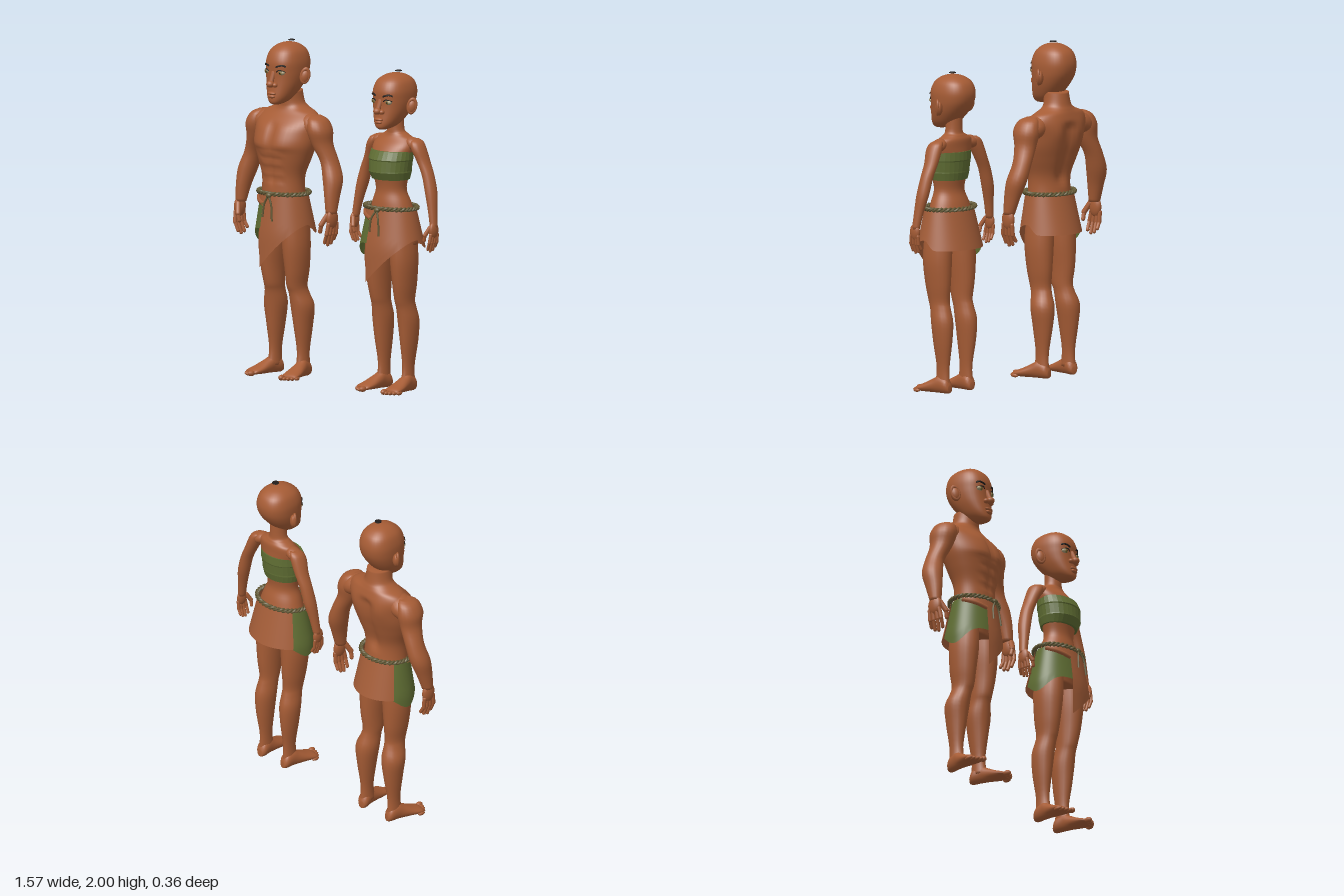
import * as THREE from 'three';

const mat = (name, color, side = THREE.FrontSide) => {
  const m = new THREE.MeshStandardMaterial({ color, side });
  m.name = name;
  return m;
};
const V = (x, y, z) => new THREE.Vector3(x, y, z);
const cr = (a, b, c, d, t) => 0.5 * (2 * b + (c - a) * t + (2 * a - 5 * b + 4 * c - d) * t * t + (3 * b - a - 3 * c + d) * t ** 3);
const smooth = THREE.MathUtils.smoothstep;
const spow = (v, e) => Math.sign(v) * Math.abs(v) ** e;

// Closed skin over rounded rings, listed from top to bottom: [y, centre x, half width, back z, front z]
function loft(rings, { seg = 20, steps = 4, side = 1, rule = null, flat = false, pow = 1 } = {}) {
  const rows = [];
  const n = rings.length;
  for (let k = 0; k < n - 1; k++)
    for (let s = 0; s < steps; s++)
      rows.push(rings[k].map((v, c) => cr(rings[Math.max(k - 1, 0)][c], v, rings[k + 1][c], rings[Math.min(k + 2, n - 1)][c], s / steps)));
  rows.push(rings[n - 1]);
  const pos = [], idx = [];
  for (const [y, cx, rx, zb, zf] of rows)
    for (let i = 0; i < seg; i++) {
      const a = (i / seg) * Math.PI * 2;
      const p = V(cx * side + rx * spow(Math.sin(a), pow), y, (zb + zf) / 2 + ((zf - zb) / 2) * spow(Math.cos(a), pow));
      if (rule) rule(p);
      pos.push(p.x, p.y, p.z);
    }
  const last = (rows.length - 1) * seg, pole = rows.length * seg;
  for (const r of [rows[0], rows[rows.length - 1]]) pos.push(r[1] * side, r[0], (r[3] + r[4]) / 2);
  for (let i = 0; i < seg; i++) {
    const k = (i + 1) % seg;
    for (let j = 0; j < rows.length - 1; j++) {
      const a = j * seg + i, b = a + seg, c = (j + 1) * seg + k, d = j * seg + k;
      idx.push(a, b, c, a, c, d);
    }
    idx.push(pole, i, k, pole + 1, last + k, last + i);
  }
  let g = new THREE.BufferGeometry();
  g.setAttribute('position', new THREE.Float32BufferAttribute(pos, 3));
  g.setIndex(idx);
  if (flat) g = g.toNonIndexed();
  g.computeVertexNormals();
  return g;
}

// Chest, belly and back muscles
function muscles(p) {
  const mid = Math.exp(-((p.x / 0.02) ** 2)), band = smooth(p.y, 1.12, 1.2) * (1 - smooth(p.y, 1.48, 1.54));
  if (p.z > 0) {
    p.z -= 0.012 * mid * band;
    p.z += 0.012 * smooth(p.y, 1.35, 1.38) * band * Math.exp(-(((Math.abs(p.x) - 0.09) / 0.07) ** 2));
    if (p.y < 1.34) p.z += 0.004 * Math.cos((p.y - 1.15) * 100) * band * (Math.abs(p.x) < 0.08 ? 1 : 0);
  } else if (p.z < -0.03) {
    p.z += 0.025 * Math.exp(-((p.x / 0.04) ** 2)) * band;
    p.z -= 0.012 * Math.exp(-(((Math.abs(p.x) - 0.1) / 0.05) ** 2) - ((p.y - 1.47) / 0.07) ** 2);
  }
}

const MAN = {
  x: -0.392, chin: 1.625, headH: 0.36, rule: muscles, hip0: 0.152, hip1: 0.192, front0: 0.13, wrist: [0.355, 1.03, -0.02], hand: 1, footX: 0.118, turn: 0.2,
  eyeT: 0.535, earT: 0.455, shoulder: [0.19, 1.5, -0.05], shoulderR: [0.11, 0.068, 0.082],
  torso: [[1.7, 0, 0.07, -0.13, 0.03], [1.63, 0, 0.082, -0.14, 0.02], [1.6, 0, 0.115, -0.15, 0.02], [1.57, 0, 0.185, -0.16, 0.035],
    [1.52, 0, 0.222, -0.17, 0.08], [1.45, 0, 0.215, -0.17, 0.12], [1.38, 0, 0.205, -0.16, 0.14], [1.3, 0, 0.178, -0.135, 0.13],
    [1.2, 0, 0.142, -0.105, 0.115], [1.1, 0, 0.138, -0.108, 0.118], [1, 0, 0.15, -0.125, 0.11], [0.88, 0, 0.15, -0.125, 0.09]],
  arm: [[1.565, 0.205, 0.03, -0.085, -0.015], [1.54, 0.226, 0.055, -0.115, 0.025], [1.48, 0.243, 0.07, -0.13, 0.042], [1.4, 0.257, 0.06, -0.12, 0.02],
    [1.3, 0.3, 0.053, -0.125, -0.005], [1.2, 0.335, 0.057, -0.12, 0.01], [1.1, 0.35, 0.042, -0.085, 0.02], [1.0, 0.358, 0.032, -0.05, 0.02]],
  leg: [[0.97, 0.085, 0.065, -0.1, 0.09], [0.8, 0.093, 0.074, -0.1, 0.095], [0.65, 0.095, 0.062, -0.095, 0.08], [0.55, 0.09, 0.052, -0.085, 0.062],
    [0.5, 0.095, 0.053, -0.095, 0.045], [0.42, 0.106, 0.067, -0.12, 0.033], [0.3, 0.108, 0.05, -0.112, 0.018], [0.15, 0.11, 0.031, -0.09, 0], [0.05, 0.112, 0.033, -0.095, 0.015]],
};
const WOMAN = {
  x: 0.455, chin: 1.565, headH: 0.325, rule: null, hip0: 0.163, hip1: 0.213, front0: 0.118, wrist: [0.305, 1.03, -0.03], hand: 0.8, footX: 0.1, turn: 0.1,
  eyeT: 0.51, earT: 0.41, shoulder: [0.135, 1.478, -0.045], shoulderR: [0.058, 0.036, 0.046],
  torso: [[1.65, 0, 0.05, -0.09, 0.01], [1.555, 0, 0.053, -0.09, 0.01], [1.53, 0, 0.08, -0.1, 0.012], [1.505, 0, 0.125, -0.11, 0.025],
    [1.46, 0, 0.142, -0.11, 0.065], [1.4, 0, 0.13, -0.11, 0.1], [1.34, 0, 0.122, -0.1, 0.11], [1.28, 0, 0.113, -0.09, 0.09],
    [1.2, 0, 0.1, -0.08, 0.078], [1.12, 0, 0.13, -0.105, 0.092], [1, 0, 0.165, -0.13, 0.1], [0.88, 0, 0.165, -0.13, 0.09]],
  arm: [[1.508, 0.145, 0.022, -0.08, -0.03], [1.49, 0.16, 0.035, -0.095, -0.003], [1.45, 0.177, 0.04, -0.1, 0.005], [1.38, 0.207, 0.036, -0.1, -0.01],
    [1.3, 0.243, 0.035, -0.095, -0.015], [1.2, 0.272, 0.034, -0.09, -0.01], [1.1, 0.293, 0.026, -0.07, -0.008], [1.0, 0.31, 0.021, -0.055, -0.005]],
  leg: [[0.97, 0.09, 0.065, -0.1, 0.09], [0.8, 0.1, 0.072, -0.1, 0.095], [0.65, 0.1, 0.06, -0.095, 0.08], [0.55, 0.096, 0.05, -0.085, 0.06],
    [0.5, 0.097, 0.05, -0.095, 0.045], [0.42, 0.1, 0.056, -0.115, 0.032], [0.3, 0.1, 0.045, -0.11, 0.018], [0.15, 0.096, 0.028, -0.09, 0], [0.05, 0.097, 0.03, -0.095, 0.015]],
};

function createFigure(c, M) {
  const g = new THREE.Group();
  const add = (name, geo, m = M.skin) => {
    const mesh = new THREE.Mesh(geo, m);
    mesh.name = name;
    g.add(mesh);
    return mesh;
  };
  const ball = (name, p, s, m) => {
    const b = add(name, new THREE.SphereGeometry(1, 16, 12), m);
    b.position.set(...p);
    b.scale.set(...s);
    return b;
  };
  const bone = (name, a, b, r) => {
    const d = b.clone().sub(a), o = add(name, new THREE.CapsuleGeometry(r, d.length(), 4, 8));
    o.position.copy(a).add(b).multiplyScalar(0.5);
    o.quaternion.setFromUnitVectors(V(0, 1, 0), d.normalize());
  };
  const tube = (name, pts, r, m, n = 16, closed = false) =>
    add(name, new THREE.TubeGeometry(new THREE.CatmullRomCurve3(pts, closed), n, r, 6, closed), m);

  add('torso', loft(c.torso, { seg: 48, steps: 5, rule: c.rule }));

  // Head and face
  const H = t => c.chin + t * c.headH;
  add('head', loft([[1, 0, 0.01, -0.045, -0.025], [0.985, 0, 0.037, -0.08, 0.008], [0.94, 0, 0.069, -0.118, 0.044], [0.85, 0, 0.098, -0.153, 0.08], [0.7, 0, 0.113, -0.17, 0.102],
    [0.55, 0, 0.113, -0.165, 0.102], [0.42, 0, 0.107, -0.145, 0.102], [0.28, 0, 0.094, -0.11, 0.106], [0.13, 0, 0.071, -0.06, 0.113], [0.04, 0, 0.045, -0.01, 0.112], [0, 0, 0.02, 0.04, 0.098]]
    .map(r => [H(r[0]), ...r.slice(1)]), { seg: 36, pow: 0.85 }));
  const faceZ = x => -0.033 + 0.136 * Math.cos(Math.asin((x / 0.113) ** (1 / 0.85))) ** 0.85;
  bone('noseBridge', V(0, H(0.52), 0.096), V(0, H(0.38), 0.116), 0.015);
  ball('noseTip', [0, H(0.345), 0.122], [0.024, 0.021, 0.026]);
  ball('upperLip', [0, H(0.19), 0.11], [0.032, 0.011, 0.018]);
  ball('lowerLip', [0, H(0.14), 0.111], [0.027, 0.012, 0.017]);
  const ez = faceZ(0.054), ey = H(c.eyeT);
  for (const s of [-1, 1]) {
    ball('nostril', [s * 0.023, H(0.33), 0.108], [0.017, 0.015, 0.018]);
    ball('eyeball', [s * 0.054, ey, ez - 0.009], [0.024, 0.015, 0.017], M.eye);
    ball('iris', [s * 0.054, ey, ez + 0.002], [0.012, 0.0125, 0.0085], M.iris);
    ball('pupil', [s * 0.054, ey, ez + 0.0075], [0.005, 0.006, 0.004], M.dark);
    tube('upperLash', [0.03, 0.042, 0.058, 0.078].map((x, i) => V(s * x, ey + [0.004, 0.013, 0.014, 0.004][i], faceZ(x) + [0.001, 0.006, 0.006, 0.002][i])), 0.0035, M.dark);
    tube('eyebrow', [0.026, 0.045, 0.064, 0.08].map((x, i) => V(s * x, ey + 0.033 + [0, 0.007, 0.01, 0.003][i], faceZ(x) + 0.002)), 0.0055, M.dark);
    ball('ear', [s * 0.126, H(c.earT), -0.04], [0.03, 0.044, 0.022]).rotation.set(0, s * 0.75, -s * 0.2);
    const rim = add('earRim', new THREE.TorusGeometry(0.028, 0.009, 8, 20));
    rim.position.set(s * 0.132, H(c.earT) + 0.006, -0.036);
    rim.scale.set(0.85, 1.4, 1);
    rim.rotation.set(0, s * 0.75, -s * 0.2);
  }
  const tuft = add('hairTuft', new THREE.CylinderGeometry(0.02, 0.021, 0.004, 16), M.dark);
  tuft.position.set(0.018, H(1) + 0.012, -0.045);

  for (const s of [-1, 1]) {
    // Shoulder, arm and hand
    ball('shoulder', [s * c.shoulder[0], c.shoulder[1], c.shoulder[2]], c.shoulderR).rotation.z = -s * 0.4;
    add('arm', loft(c.arm, { side: s }));
    const [wx, wy, wz] = c.wrist, k = c.hand;
    const P = (x, y, z) => V(s * (wx + x * k), wy + y * k, wz + z * k);
    ball('palm', P(0.01, -0.06, 0.005).toArray(), [0.024 * k, 0.062 * k, 0.046 * k]);
    [0.04, 0.016, -0.008, -0.03].forEach((z, i) => {
      const tip = [-0.2, -0.215, -0.207, -0.185][i];
      bone('finger', P(0.014, -0.09, z), P(0.008, -0.15, z * 1.15 + 0.004), 0.0125 * k);
      bone('fingertip', P(0.008, -0.15, z * 1.15 + 0.004), P(-0.012, tip, z * 1.15), 0.011 * k);
    });
    bone('thumb', P(-0.002, -0.04, 0.035), P(-0.025, -0.095, 0.062), 0.016 * k);
    bone('thumbTip', P(-0.025, -0.095, 0.062), P(-0.035, -0.135, 0.06), 0.013 * k);

    // Leg and foot; foot rings run from toe to heel
    add('leg', loft(c.leg, { side: s }));
    const foot = new THREE.Group();
    foot.name = 'foot';
    foot.position.set(s * c.footX, 0, -0.03);
    foot.rotation.y = s * c.turn;
    const sole = loft([[0.17, 0, 0.042, -0.027, -0.004], [0.15, 0, 0.053, -0.04, -0.003], [0.1, 0, 0.052, -0.06, -0.002], [0.04, 0, 0.042, -0.09, -0.002],
      [0, 0, 0.036, -0.11, -0.002], [-0.05, 0, 0.034, -0.09, -0.002], [-0.07, 0, 0.018, -0.05, -0.008]]).rotateX(Math.PI / 2);
    foot.add(new THREE.Mesh(sole, M.skin));
    foot.children[0].name = 'sole';
    for (let i = 0; i < 5; i++) {
      const toe = new THREE.Mesh(new THREE.SphereGeometry(1, 10, 8), M.skin), r = i ? 0.0115 : 0.017;
      toe.name = 'toe';
      toe.position.set(s * (-0.036 + i * 0.021), r, 0.184 - i * i * 0.0025);
      toe.scale.set(r, r, 0.024);
      foot.add(toe);
    }
    g.add(foot);
  }

  // Wrapped skirt: a surface point for an angle from the front and a height
  const S = (a, y, off = 0) => {
    const t = Math.min(Math.max((1.09 - y) / 0.23, 0), 1), co = Math.cos(a);
    const rz = co > 0 ? c.front0 + (0.157 - c.front0) * t : 0.12 + 0.06 * t;
    return V((c.hip0 + (c.hip1 - c.hip0) * t + off) * Math.sin(a), y, co * (rz + off));
  };
  const panel = (name, a0, a1, hem, off, m) => {
    const geo = new THREE.PlaneGeometry(1, 1, 48, 8), p = geo.attributes.position;
    for (let i = 0; i < p.count; i++) {
      const a = a0 + (a1 - a0) * (p.getX(i) + 0.5), v = 0.5 - p.getY(i);
      const q = S(a, 1.09 + (hem(a) - 1.09) * v, off);
      p.setXYZ(i, q.x, q.y, q.z);
    }
    geo.computeVertexNormals();
    add(name, geo, m);
  };
  panel('skirtWrap', -0.3, 4.15, a => a < Math.PI / 2 ? 0.655 + 0.26 * (Math.sin(a) + 0.3) / 1.3 : 0.915 - 0.055 * smooth(a, 1.57, 2), 0.004, M.leather);
  panel('skirtSidePanel', -2.2, -0.22, a => 0.885 - 0.095 * Math.abs(Math.sin(a)) ** 6, -0.004, M.green);
  const foldY = a => 1.078 - 0.045 * (a + 1.35) / 1.05;
  panel('skirtYoke', -1.35, -0.28, foldY, 0.003, M.leather);
  tube('skirtFold', [-1.35, -1, -0.65, -0.3].map(a => S(a, foldY(a), 0.002)), 0.013, M.leather);

  // Twisted rope belt with knot and loose ends
  for (const ph of [0, Math.PI]) {
    const pts = [];
    for (let i = 0; i < 144; i++) {
      const a = (i / 144) * Math.PI * 2, w = a * 18 + ph;
      pts.push(S(a, 1.095, 0.009 + 0.007 * Math.cos(w)).setY(1.098 + 0.007 * Math.sin(w)));
    }
    tube('ropeBelt', pts, 0.008, M.rope, 288, true);
  }
  const kz = c.front0 + 0.02;
  ball('ropeKnot', [0.01, 1.09, kz], [0.02, 0.016, 0.014], M.rope);
  for (const [x, y] of [[-0.025, 0.96], [0.05, 0.94]])
    tube('ropeEnd', [V(0.01, 1.09, kz + 0.002), V(x * 0.7, 1.04, 0.156), V(x, y, 0.165)], 0.006, M.rope);
  return g;
}

export function createModel() {
  const D = THREE.DoubleSide;
  const M = {
    skin: mat('skin', 0xa65c35), leather: mat('leather', 0xa45d38, D), green: mat('greenCloth', 0x5f6d33, D),
    rope: mat('rope', 0x645a36), dark: mat('darkHair', 0x211d1b), eye: mat('eyeWhite', 0xaa9a76), iris: mat('iris', 0x78662c),
  };
  const model = new THREE.Group();
  for (const [name, c] of [['man', MAN], ['woman', WOMAN]]) {
    const f = createFigure(c, M);
    f.name = name;
    f.position.x = c.x;
    model.add(f);
    if (c === WOMAN) {
      // Pleated chest wrap
      const wrap = new THREE.Mesh(loft([[1.435, 0, 0.137, -0.118, 0.1], [1.385, 0, 0.141, -0.12, 0.124], [1.378, 0, 0.138, -0.117, 0.121], [1.318, 0, 0.133, -0.11, 0.126],
        [1.31, 0, 0.134, -0.11, 0.127], [1.265, 0, 0.121, -0.099, 0.103]], { seg: 28, steps: 1, flat: true }), M.green);
      wrap.name = 'chestWrap';
      f.add(wrap);
    }
  }
  return model;
}
